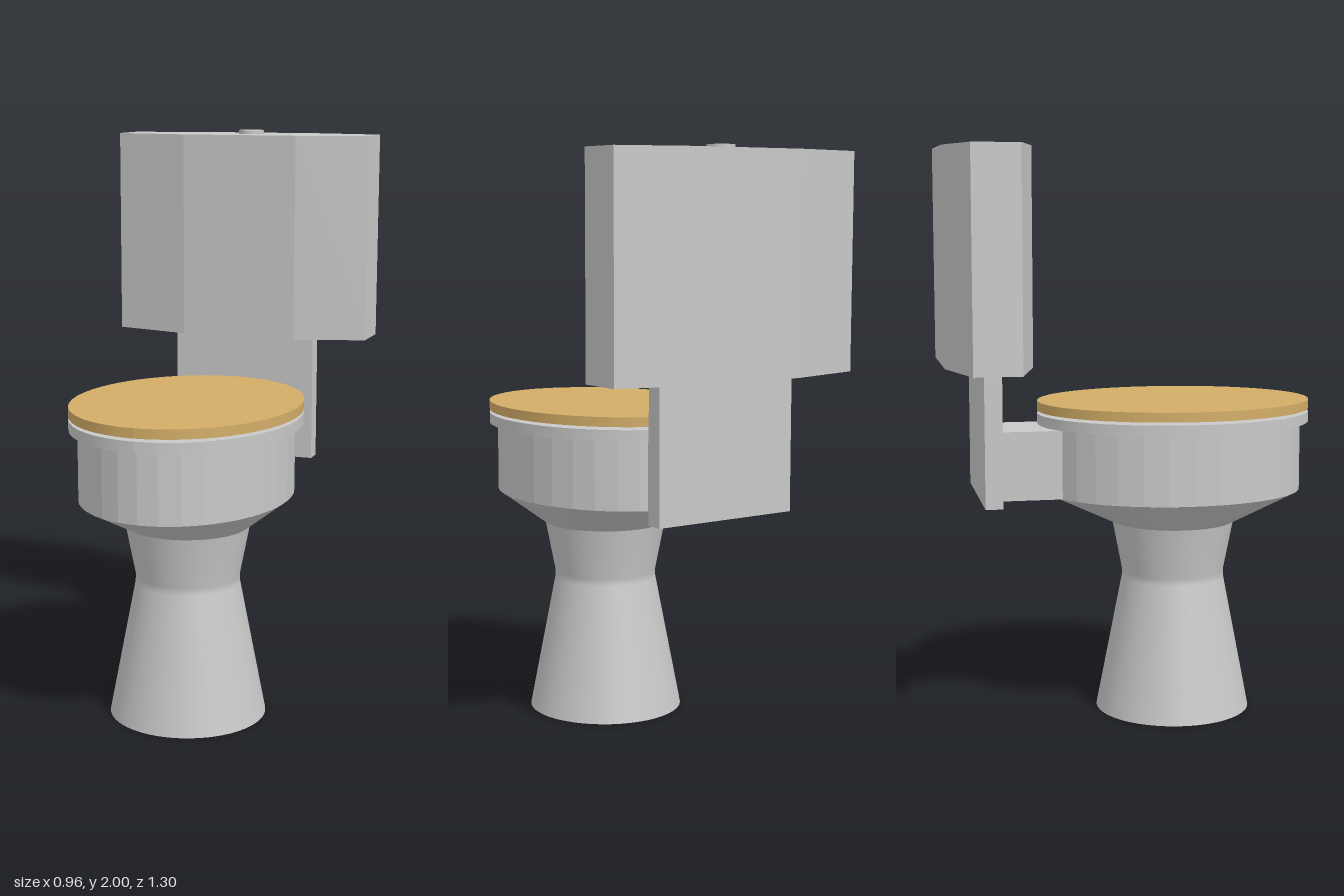
import * as THREE from 'three';

const CX = 0.014, CZ = 0.168; // centre of the bowl and pedestal

export function createModel() {
  const ceramic = new THREE.MeshStandardMaterial({ color: 0xc8c8c8 });
  ceramic.name = 'grey ceramic';
  const wood = new THREE.MeshStandardMaterial({ color: 0xd2ad67 });
  wood.name = 'tan wood';

  const model = new THREE.Group();
  model.name = 'toilet';

  function add(name, geometry, material, x = 0, y = 0, z = 0) {
    const mesh = new THREE.Mesh(geometry, material);
    mesh.name = name;
    mesh.position.set(x, y, z);
    model.add(mesh);
    return mesh;
  }

  // Upright solid between two ellipses, each given as [rx, rz]
  function ellipseLoft(bottom, top, y0, y1, segments, faceted = false) {
    let g = new THREE.CylinderGeometry(1, 1, y1 - y0, segments);
    const p = g.attributes.position;
    for (let i = 0; i < p.count; i++) {
      const [rx, rz] = p.getY(i) > 0 ? top : bottom;
      p.setX(i, p.getX(i) * rx);
      p.setZ(i, p.getZ(i) * rz);
    }
    if (faceted) g = g.toNonIndexed();
    g.translate(0, (y0 + y1) / 2, 0);
    g.computeVertexNormals();
    return g;
  }

  function box(name, x0, x1, y0, y1, z0, z1) {
    add(name, new THREE.BoxGeometry(x1 - x0, y1 - y0, z1 - z0), ceramic,
      (x0 + x1) / 2, (y0 + y1) / 2, (z0 + z1) / 2);
  }

  // Waisted pedestal, smooth around the narrowest part
  const profile = [[0.274, 0], [0.182, 0.475], [0.181, 0.5], [0.216, 0.68]]
    .map(([r, y]) => new THREE.Vector2(r, y));
  add('pedestal', new THREE.LatheGeometry(profile, 48), ceramic, CX, 0, CZ);
  const base = new THREE.CircleGeometry(0.274, 48);
  base.rotateX(Math.PI / 2);
  add('pedestalBase', base, ceramic, CX, 0, CZ);

  // Bowl: flared underside, upright wall and overhanging rim
  const wall = [0.358, 0.455], rim = [0.388, 0.483];
  add('bowlUnderside', ellipseLoft([0.216, 0.218], wall, 0.68, 0.79, 48), ceramic, CX, 0, CZ);
  add('bowlWall', ellipseLoft(wall, wall, 0.79, 1.033, 32, true), ceramic, CX, 0, CZ);
  add('rim', ellipseLoft(rim, rim, 1.033, 1.07, 48), ceramic, CX, 0, CZ);
  add('lid', ellipseLoft(rim, rim, 1.08, 1.113, 48), wood, CX, 0, CZ);

  // Connector and upright plate carrying the tank
  box('connector', -0.127, 0.125, 0.79, 1.028, -0.5, -0.1);
  box('backPlate', -0.27, 0.267, 0.79, 1.256, -0.53, -0.47);

  // Eight-sided tank with tapered ends
  const outline = [
    [-0.48, -0.585], [-0.2, -0.652], [0.226, -0.652], [0.476, -0.585],
    [0.476, -0.426], [0.226, -0.358], [-0.2, -0.358], [-0.48, -0.426],
  ].map(([x, z]) => new THREE.Vector2(x, -z));
  const tank = new THREE.ExtrudeGeometry(new THREE.Shape(outline), { depth: 0.731, bevelEnabled: false });
  tank.rotateX(-Math.PI / 2);
  add('tank', tank, ceramic, 0, 1.255, 0);

  // Flush button on top of the tank
  add('flushButton', new THREE.CylinderGeometry(0.046, 0.046, 0.02, 32), ceramic, 0.012, 1.99, -0.504);

  return model;
}
